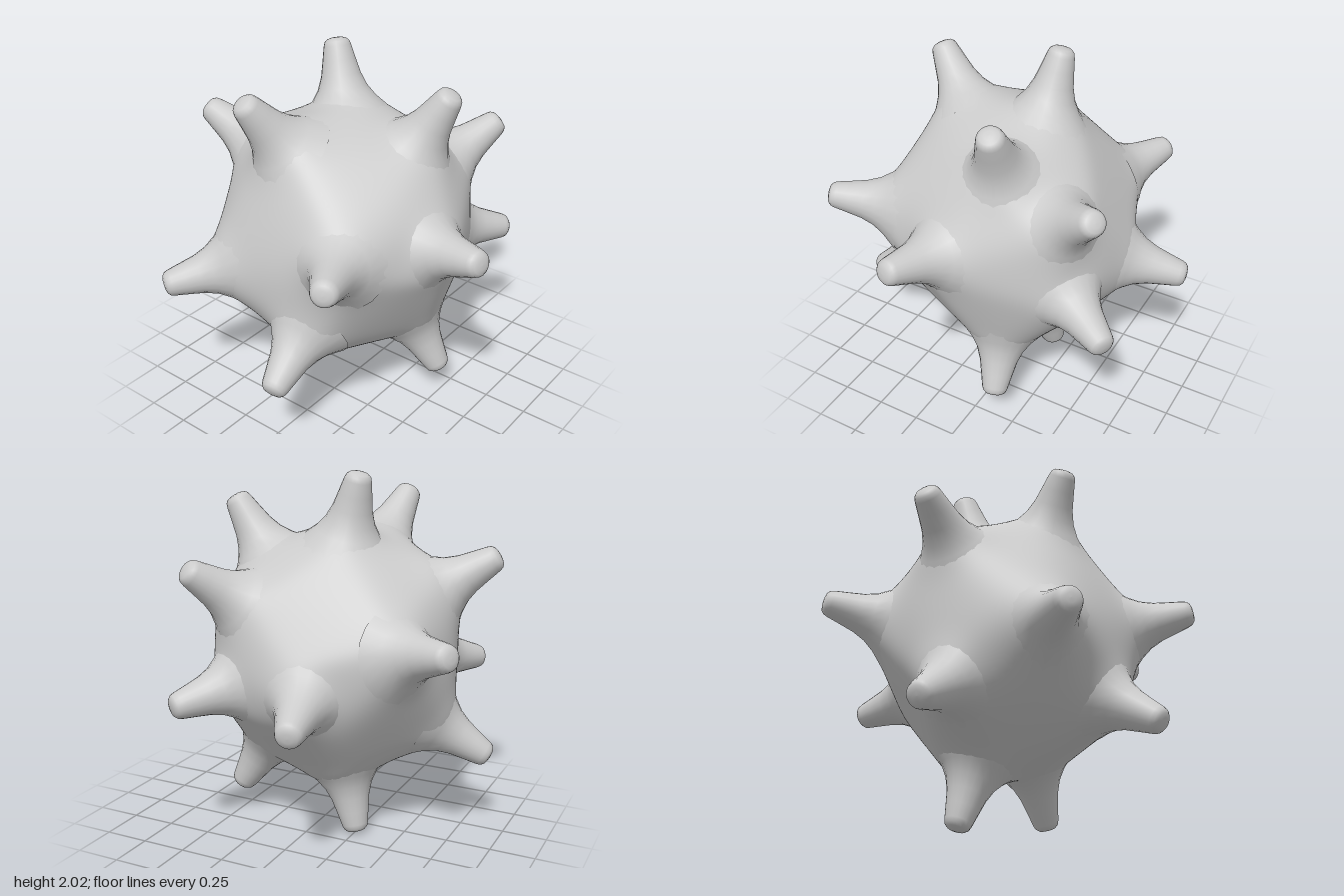
import * as THREE from 'three';
import { mergeVertices } from 'three/addons/utils/BufferGeometryUtils.js';
import { ConvexGeometry } from 'three/addons/geometries/ConvexGeometry.js';

const UP = new THREE.Vector3(0, 1, 0);

// Spike end points, measured from the middle of the body
const TIPS = [
  [-0.255, 1.0, -0.125], [-0.25, 0.865, 0.62], [0.49, 0.855, -0.125],
  [-0.91, 0.57, 0.23], [-0.91, 0.19, -0.515], [0.925, 0.19, 0.235],
  [0.49, 0.19, 0.915], [-0.625, -0.18, 0.915], [-0.9, -0.56, 0.23],
  [0.12, -0.56, 0.905], [0.49, -0.84, -0.125], [-0.255, -0.99, -0.125],
  [0.46, 0.53, -0.68], [0.5, -0.18, -0.785], [-0.255, -0.18, -0.925],
].map((p) => new THREE.Vector3(...p));

// Distinct planes of the hull stretched over the rings at the spike roots
function hullPlanes() {
  const points = [];
  for (const tip of TIPS) {
    const length = tip.length();
    const turn = new THREE.Quaternion().setFromUnitVectors(UP, tip.clone().normalize());
    for (let i = 0; i < 8; i++) {
      const a = (i / 8) * Math.PI * 2;
      points.push(new THREE.Vector3(0.18 * Math.cos(a), length - 0.335, 0.18 * Math.sin(a)).applyQuaternion(turn));
    }
  }
  const pos = new ConvexGeometry(points).getAttribute('position');
  const planes = [];
  const corner = (i) => new THREE.Vector3().fromBufferAttribute(pos, i);
  for (let i = 0; i < pos.count; i += 3) {
    const plane = new THREE.Plane().setFromCoplanarPoints(corner(i), corner(i + 1), corner(i + 2));
    const known = planes.some((q) => q.normal.dot(plane.normal) > 0.995);
    if (!known && -plane.constant > 0.1) planes.push(plane);
  }
  return planes;
}

// Body: a sphere shrunk softly onto the hull, swelling towards each spike
function bodyGeometry() {
  const planes = hullPlanes();
  const ball = new THREE.IcosahedronGeometry(1, 30);
  ball.deleteAttribute('uv');
  ball.deleteAttribute('normal');
  const geometry = mergeVertices(ball, 1e-4);
  const pos = geometry.getAttribute('position');
  const axes = TIPS.map((t) => t.clone().normalize());
  const dir = new THREE.Vector3();
  for (let i = 0; i < pos.count; i++) {
    dir.fromBufferAttribute(pos, i).normalize();
    let sum = 0;
    for (const plane of planes) {
      const facing = plane.normal.dot(dir);
      if (facing > 0.05) sum += Math.pow(facing / -plane.constant, 40);
    }
    let r = 1.02 * Math.pow(sum, -1 / 40);
    for (const axis of axes) r += 0.07 * Math.exp(-Math.pow(axis.angleTo(dir) / 0.2, 2));
    pos.setXYZ(i, dir.x * r, dir.y * r, dir.z * r);
  }
  geometry.computeVertexNormals();
  return geometry;
}

// Spike: a blunt cone with a flared root, [radius, distance below the end]
const PROFILE = [[0.25, -0.4], [0.175, -0.32], [0.135, -0.26], [0.108, -0.19], [0.09, -0.11],
  [0.074, -0.035], [0.066, -0.012], [0.05, 0.002], [0.025, 0.008], [0, 0.009]];

function spikeGeometry(length) {
  return new THREE.LatheGeometry(PROFILE.map(([r, y]) => new THREE.Vector2(r, length + y)), 20);
}

export function createModel() {
  const group = new THREE.Group();
  group.name = 'spikyBall';
  const material = new THREE.MeshStandardMaterial({ color: 0xcccccc });

  const body = new THREE.Mesh(bodyGeometry(), material);
  body.name = 'body';
  body.position.y = 1;
  group.add(body);

  TIPS.forEach((tip, i) => {
    const spike = new THREE.Mesh(spikeGeometry(tip.length()), material);
    spike.name = `spike${i + 1}`;
    spike.position.y = 1;
    spike.quaternion.setFromUnitVectors(UP, tip.clone().normalize());
    group.add(spike);
  });
  return group;
}
